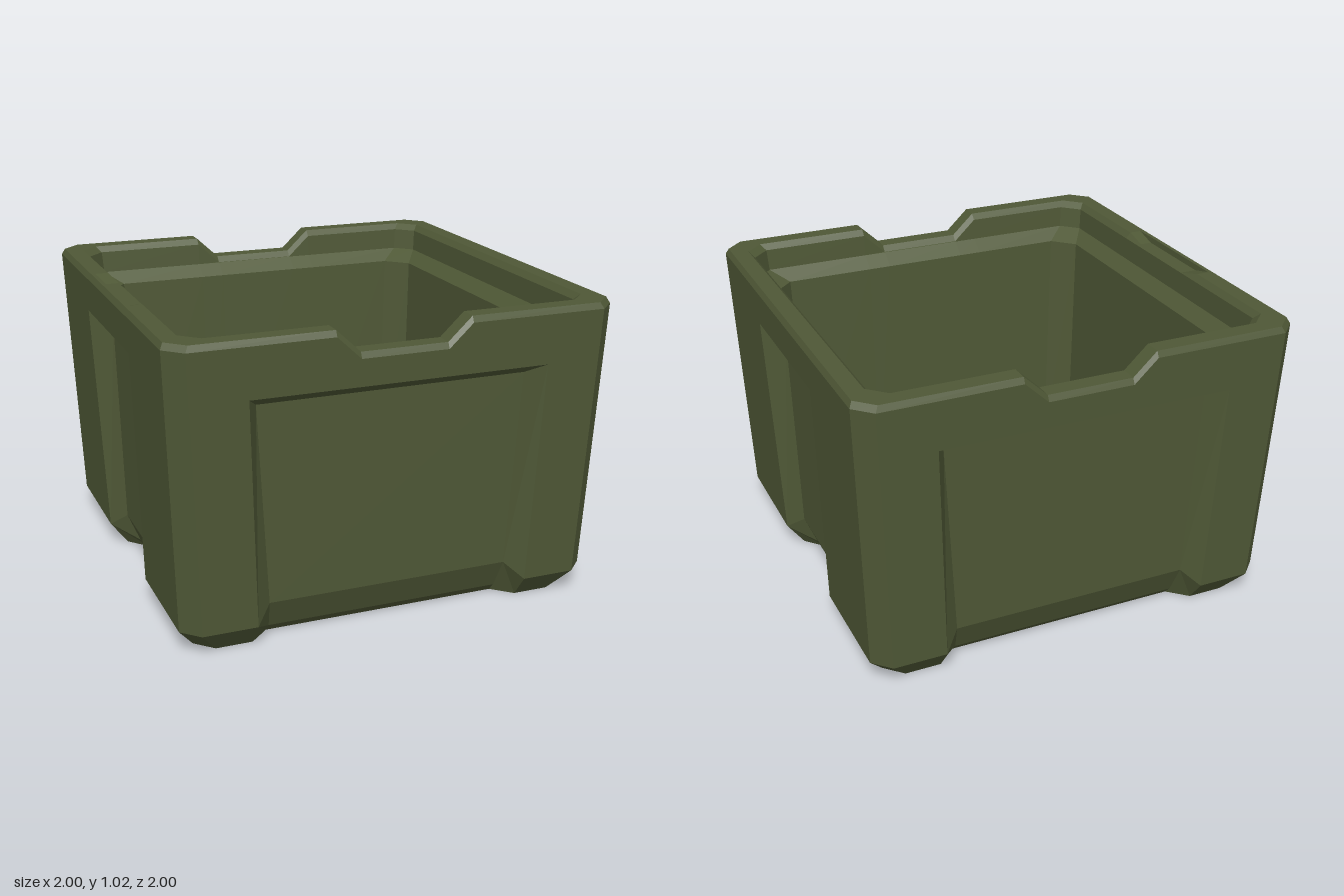
import * as THREE from 'three';

// Cross-section of the tub as [distance from centre, height]
const FLOOR_Y = 0.045;
const FOOT = [[0.65, 0], [0.71, 0.08], [0.746, 1.0]];
const RIM = [[0.746, 1.0], [0.736, 1.02], [0.722, 1.02], [0.72, 1.02], [0.678, 1.02], [0.66, 1.0]];
const LINER = [[0.66, 1.0], [0.655, 0.925], [0.608, 0.885], [0.583, FLOOR_Y]];

const wallR = (y) => 0.71 + (0.036 * (y - 0.08)) / 0.92;
// Half length of a side between its corner chamfers, which are larger inside
const half = (r) => r - (r < 0.62 ? 0.073 : 0.058);
const P = (s, y, r) => [s, y, r];
const onWall = (s, y) => P(s, y, wallR(y));

// Flat-faced mesh from polygons listed counter-clockwise
function facesMesh(name, faces, material) {
  const pos = [];
  for (const f of faces)
    for (let i = 1; i < f.length - 1; i++) pos.push(...f[0], ...f[i], ...f[i + 1]);
  const g = new THREE.BufferGeometry();
  g.setAttribute('position', new THREE.Float32BufferAttribute(pos, 3));
  g.computeVertexNormals();
  const m = new THREE.Mesh(g, material);
  m.name = name;
  return m;
}

// Mirror a polygon across the middle of a side
const mirror = (f) => f.map(([x, y, z]) => [-x, y, z]).reverse();

function buildSide(o, material) {
  const { wt, wb, it, ib, yt, nt, nb, nd, lip } = o;
  const side = new THREE.Group();
  const drop = [0, 0, -nd, -nd, 0, 0];
  const col = (i, r) => [-half(r), -nt, -nb, nb, nt, half(r)][i];

  // outer wall around the recess
  const wall = [];
  const flank = [
    [onWall(-half(0.71), 0.08), onWall(-wb, 0.08), onWall(-wt, yt), onWall(-half(wallR(yt)), yt)],
    [P(-half(0.65), 0, 0.65), P(-wb, 0, 0.65), onWall(-wb, 0.08), onWall(-half(0.71), 0.08)],
  ];
  for (const f of flank) wall.push(f, mirror(f));
  for (let i = 0; i < 5; i++) {
    const ya = 1 + (lip ? 0 : drop[i]), yb = 1 + (lip ? 0 : drop[i + 1]);
    wall.push([
      onWall(col(i, wallR(yt)), yt), onWall(col(i + 1, wallR(yt)), yt),
      onWall(col(i + 1, wallR(yb)), yb), onWall(col(i, wallR(ya)), ya),
    ]);
  }
  side.add(facesMesh('outerWall', wall, material));

  // recessed panel, open at the bottom
  const yi = yt - 0.04;
  const rows = [[ib - 0.01, 0, 0.59], [ib - 0.01, 0.03, 0.618], [ib, 0.13, 0.66], [it, yi, wallR(yi) - 0.07]];
  const L = rows.map(([w, y, r]) => P(-w, y, r));
  const R = rows.map(([w, y, r]) => P(w, y, r));
  const panel = [];
  for (let i = 0; i < 3; i++) panel.push([L[i], R[i], R[i + 1], L[i + 1]]);
  panel.push([L[3], R[3], onWall(wt, yt), onWall(-wt, yt)]);
  const jambs = [
    [onWall(-wb, 0.08), L[2], L[3], onWall(-wt, yt)],
    [onWall(-wb, 0.08), P(-wb, 0, 0.65), L[0], L[1], L[2]],
  ];
  for (const f of jambs) panel.push(f, mirror(f));
  side.add(facesMesh('recessedPanel', panel, material));

  // rim with a notch cut through, or a shallow groove between two lips, and the stepped inner liner
  const strip = (profile, dropAt) => {
    const faces = [];
    for (let j = 0; j < profile.length - 1; j++)
      for (let i = 0; i < 5; i++) {
        const v = (a, k) => {
          const [r, y] = profile[k];
          return P(col(a, r), y + (dropAt(k) ? drop[a] : 0), r);
        };
        faces.push([v(i, j), v(i + 1, j), v(i + 1, j + 1), v(i, j + 1)]);
      }
    return faces;
  };
  side.add(facesMesh('rim', strip(RIM, (k) => !lip || k === 3 || k === 4), material));
  side.add(facesMesh('innerLiner', strip(LINER, (k) => !lip && k === 0), material));

  // chamfered corner to the next side
  const all = [...FOOT, ...RIM.slice(1), ...LINER.slice(1)];
  const corner = [];
  for (let j = 0; j < all.length - 1; j++) {
    const [r0, y0] = all[j], [r1, y1] = all[j + 1];
    corner.push([P(half(r0), y0, r0), P(r0, y0, half(r0)), P(r1, y1, half(r1)), P(half(r1), y1, r1)]);
  }
  side.add(facesMesh('corner', corner, material));

  // quarter of the underside and of the inside floor
  const under = [
    P(-half(0.65), 0, 0.65), P(-wb, 0, 0.65), L[0], R[0],
    P(wb, 0, 0.65), P(half(0.65), 0, 0.65), P(0.65, 0, half(0.65)),
  ];
  const base = [];
  for (let i = 0; i < under.length - 1; i++) base.push([[0, 0, 0], under[i + 1], under[i]]);
  side.add(facesMesh('underside', base, material));
  const f = 0.583, h = half(f);
  const floor = [P(0, FLOOR_Y, 0), P(-h, FLOOR_Y, f), P(h, FLOOR_Y, f), P(f, FLOOR_Y, h)];
  side.add(facesMesh('insideFloor', [floor], material));
  return side;
}

export function createModel() {
  const model = new THREE.Group();
  model.name = 'storageBin';
  const material = new THREE.MeshStandardMaterial({ color: 0x4f5836, flatShading: true });

  // wide panels with deep notches, narrow panels with a plain or grooved rim
  const wide = { wt: 0.498, wb: 0.47, it: 0.454, ib: 0.415, yt: 0.835, nt: 0.225, nb: 0.145, nd: 0.075, lip: false };
  const narrow = { wt: 0.285, wb: 0.248, it: 0.228, ib: 0.19, yt: 0.88, nt: 0.235, nb: 0.155, nd: 0, lip: true };
  const sides = [
    ['rightSide', wide], ['backSide', narrow],
    ['leftSide', wide], ['frontSide', { ...narrow, nd: 0.02 }],
  ];
  sides.forEach(([name, options], k) => {
    const side = buildSide(options, material);
    side.name = name;
    side.rotation.y = THREE.MathUtils.degToRad(57.5 + 90 * k);
    model.add(side);
  });
  return model;
}
